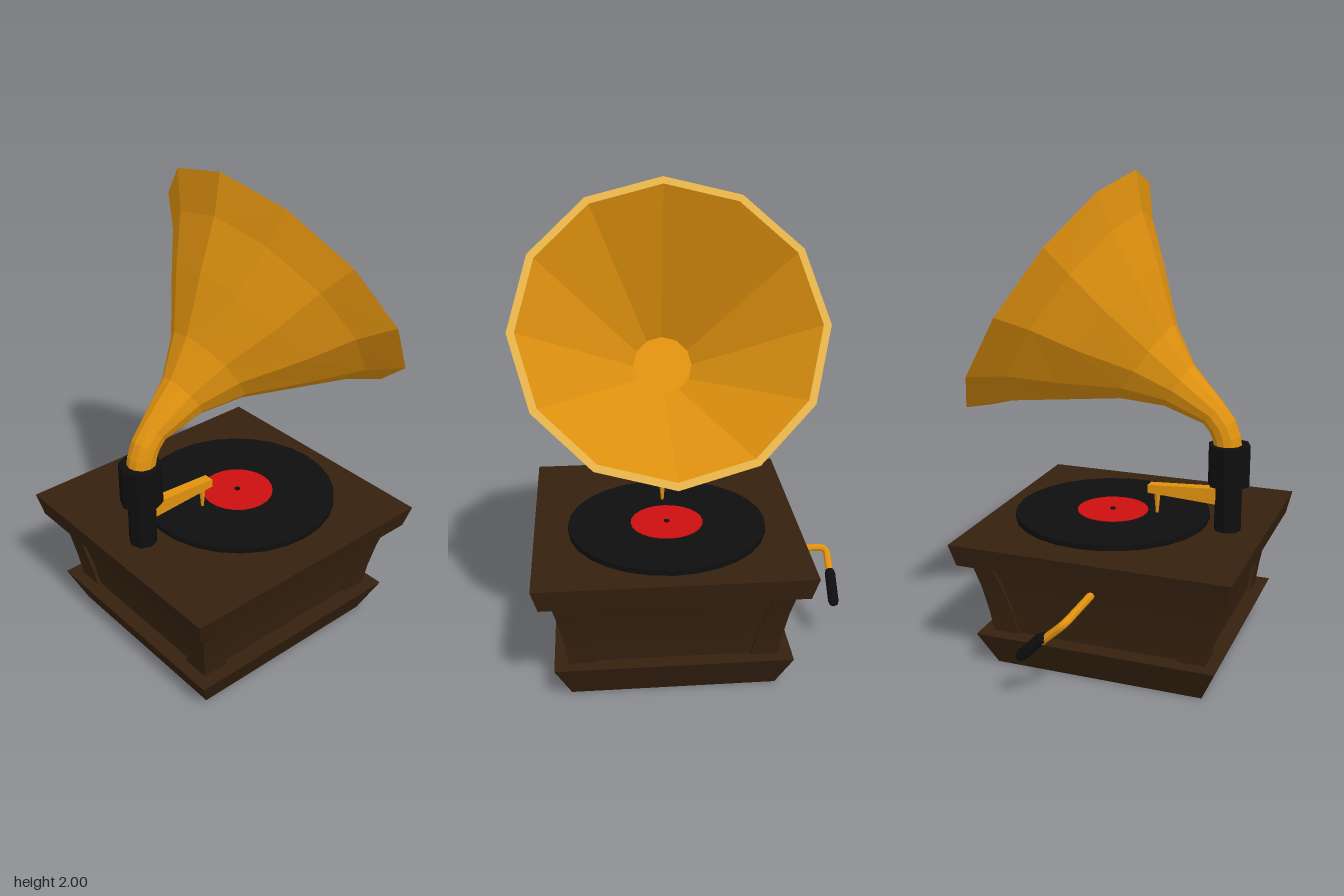
import * as THREE from 'three';

const mat = (name, color, extra = {}) => {
  const m = new THREE.MeshStandardMaterial({ color, flatShading: true, ...extra });
  m.name = name;
  return m;
};

// Skins a list of point rings; each ring runs counter-clockwise about the first-to-last direction.
function loft(rings, capStart = true, capEnd = true) {
  const out = [];
  const tri = (...ps) => ps.forEach(p => out.push(p.x, p.y, p.z));
  const n = rings[0].length;
  for (let i = 0; i < rings.length - 1; i++) {
    for (let j = 0; j < n; j++) {
      const k = (j + 1) % n;
      tri(rings[i][j], rings[i][k], rings[i + 1][k]);
      tri(rings[i][j], rings[i + 1][k], rings[i + 1][j]);
    }
  }
  const first = rings[0], last = rings[rings.length - 1];
  for (let j = 1; j < n - 1; j++) {
    if (capStart) tri(first[0], first[j + 1], first[j]);
    if (capEnd) tri(last[0], last[j], last[j + 1]);
  }
  const g = new THREE.BufferGeometry();
  g.setAttribute('position', new THREE.Float32BufferAttribute(out, 3));
  g.computeVertexNormals();
  return g;
}

// Horizontal rectangle ring
const rect = (y, x0, x1, z0, z1) =>
  [[x1, z1], [x1, z0], [x0, z0], [x0, z1]].map(([x, z]) => new THREE.Vector3(x, y, z));
const centred = (y, hx, hz) => rect(y, -hx, hx, -hz, hz);

// Twelve-sided ring spanning the upper and lower edge points of a horn section
function hornRing(ax, ay, bx, by, scale = 1) {
  const c = new THREE.Vector3((ax + bx) / 2, (ay + by) / 2, 0);
  const u = new THREE.Vector3((ax - bx) / 2, (ay - by) / 2, 0).multiplyScalar(scale);
  const r = u.length();
  return Array.from({ length: 12 }, (_, i) => {
    const a = i / 12 * Math.PI * 2;
    return c.clone().addScaledVector(u, Math.cos(a)).add(new THREE.Vector3(0, 0, r * Math.sin(a)));
  });
}

export function createModel() {
  const model = new THREE.Group();
  model.name = 'gramophone';
  const wood = mat('dark wood', 0x35210f);
  const brass = mat('brass', 0xe0920f);
  const rimMat = mat('pale brass', 0xe3b24a);
  const black = mat('black', 0x0e0e0e);
  const red = mat('label red', 0xcc1010);
  const add = (parent, name, geo, m, x = 0, y = 0, z = 0) => {
    const mesh = new THREE.Mesh(geo, m);
    mesh.name = name;
    mesh.position.set(x, y, z);
    parent.add(mesh);
    return mesh;
  };
  const Z = 0.0625;

  // Cabinet: plinth, recessed panels, curved corner posts, lid
  const cabinet = new THREE.Group();
  cabinet.name = 'cabinet';
  cabinet.position.set(-0.04, 0, Z);
  model.add(cabinet);
  add(cabinet, 'plinth', loft([centred(0, 0.44, 0.417), centred(0.145, 0.505, 0.482)]), wood);
  // height, half width, half depth, post thickness
  const body = [
    [0.145, 0.453, 0.425, 0.113], [0.24, 0.466, 0.438, 0.104],
    [0.35, 0.486, 0.46, 0.094], [0.46, 0.515, 0.488, 0.085],
  ];
  add(cabinet, 'panels', loft(body.map(([y, x, z]) => centred(y, x - 0.015, z - 0.015))), wood);
  for (const sx of [-1, 1]) for (const sz of [-1, 1]) {
    const span = (s, h, t) => s > 0 ? [h - t, h] : [-h, t - h];
    add(cabinet, 'cornerPost',
      loft(body.map(([y, x, z, t]) => rect(y, ...span(sx, x, t), ...span(sz, z, t)))), wood);
  }
  add(cabinet, 'lid', loft([centred(0.46, 0.56, 0.53), centred(0.555, 0.581, 0.556)]), wood);

  // Record on its platter
  add(model, 'record', new THREE.CylinderGeometry(0.415, 0.415, 0.022, 28), black, 0.045, 0.566, Z);
  add(model, 'recordLabel', new THREE.CylinderGeometry(0.152, 0.152, 0.004, 24), red, 0.045, 0.578, Z);
  add(model, 'spindle', new THREE.CylinderGeometry(0.012, 0.012, 0.01, 8), black, 0.045, 0.58, Z);

  // Horn support
  add(model, 'supportPost', new THREE.CylinderGeometry(0.057, 0.057, 0.2, 8), black, -0.46, 0.655, Z);
  add(model, 'supportCollar', new THREE.CylinderGeometry(0.087, 0.087, 0.172, 8), black, -0.46, 0.836, Z);

  // Tonearm tapering to the needle
  const arm = new THREE.BoxGeometry(0.31, 0.07, 0.044);
  const p = arm.attributes.position;
  for (let i = 0; i < p.count; i++) if (p.getX(i) > 0) p.setY(i, p.getY(i) * 0.5);
  add(model, 'tonearm', arm, brass, -0.272, 0.695, Z + 0.004);
  add(model, 'needle', new THREE.CylinderGeometry(0.015, 0.006, 0.1, 6), brass, -0.153, 0.637, Z + 0.004);

  // Horn: upper and lower edge points of each section, from collar to mouth
  const horn = new THREE.Group();
  horn.name = 'horn';
  horn.position.z = 0.061;
  model.add(horn);
  const sections = [
    [-0.513, 0.91, -0.395, 0.91], [-0.505, 0.96, -0.39, 0.94], [-0.48, 1.025, -0.375, 0.972],
    [-0.43, 1.09, -0.352, 1.0], [-0.3, 1.237, -0.19, 1.06], [-0.217, 1.396, -0.01, 1.077],
    [-0.148, 1.634, 0.27, 1.05], [-0.08, 1.84, 0.466, 1.03], [-0.053, 2.0, 0.614, 0.99],
  ];
  const mouth = sections[sections.length - 1];
  const inner = hornRing(...mouth, 0.95);
  const throat = hornRing(-0.224, 1.307, -0.09, 1.103);
  add(horn, 'hornOuter', loft(sections.map(s => hornRing(...s)), true, false), brass);
  add(horn, 'hornRim', loft([hornRing(...mouth), inner], false, false), rimMat);
  add(horn, 'hornInner', loft([inner, throat], false, true), brass);

  // Crank: rod out of the back, bent diagonally down to a grip
  const crank = new THREE.Group();
  crank.name = 'crank';
  model.add(crank);
  const v = (x, y, z) => new THREE.Vector3(x, y, z);
  const path = new THREE.CurvePath();
  path.add(new THREE.LineCurve3(v(-0.03, 0.382, -0.36), v(-0.03, 0.382, -0.61)));
  path.add(new THREE.QuadraticBezierCurve3(v(-0.03, 0.382, -0.61), v(-0.03, 0.382, -0.647), v(-0.004, 0.357, -0.647)));
  path.add(new THREE.LineCurve3(v(-0.004, 0.357, -0.647), v(0.07, 0.29, -0.647)));
  add(crank, 'crankRod', new THREE.TubeGeometry(path, 40, 0.016, 8), brass);
  const grip = add(crank, 'crankGrip', new THREE.CapsuleGeometry(0.023, 0.125, 2, 8), black, 0.11, 0.262, -0.647);
  grip.rotation.z = Math.PI / 4;
  return model;
}
